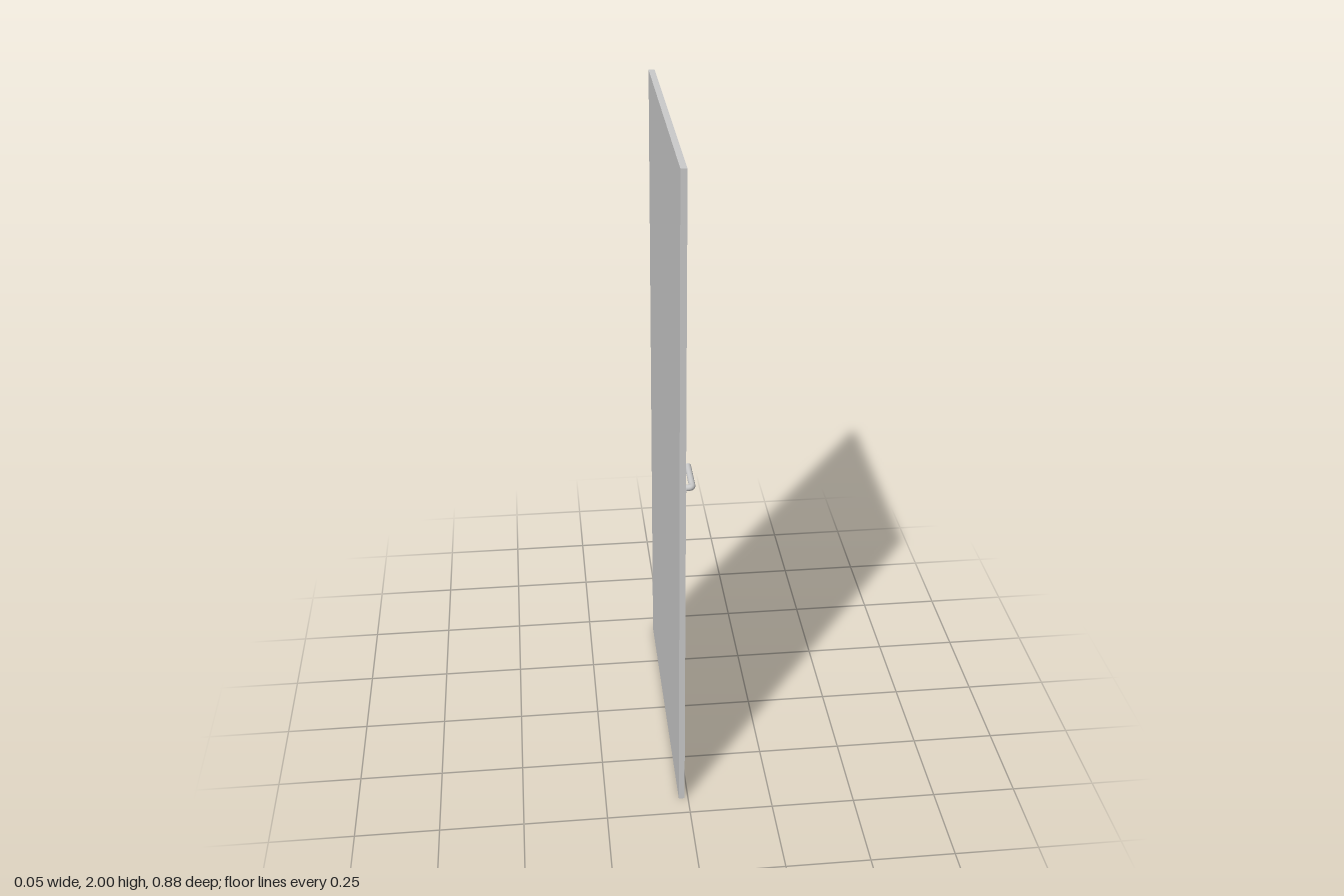
import * as THREE from 'three';

export function createModel() {
  const model = new THREE.Group();
  const material = new THREE.MeshStandardMaterial({ color: 0xcccccc });
  const add = (name, geometry, x, y, z, parent = model) => {
    const mesh = new THREE.Mesh(geometry, material);
    mesh.name = name;
    mesh.position.set(x, y, z);
    parent.add(mesh);
    return mesh;
  };

  // Door leaf, with its face towards +x
  const faceX = -0.0105;
  add('doorLeaf', new THREE.BoxGeometry(0.0175, 2, 0.876), faceX - 0.00875, 1, 0);

  // Handle set, built around the spindle axis
  const handle = new THREE.Group();
  handle.name = 'handleSet';
  handle.position.set(faceX, 1.05, 0.348);
  model.add(handle);

  // Long plate behind the lever
  add('backPlate', new THREE.BoxGeometry(0.004, 0.2, 0.066), 0.002, -0.05, 0, handle);

  // Round collar at the base of the lever
  add('collar', new THREE.CylinderGeometry(0.0185, 0.0185, 0.005, 24), 0.0062, 0, 0, handle)
    .rotation.z = -Math.PI / 2;

  // Lever: short neck, rounded elbow, straight grip
  const radius = 0.0093, reach = 0.0282, bend = 0.012, gripEnd = -0.119;
  const point = (x, z) => new THREE.Vector3(x, 0, z);
  const path = new THREE.CurvePath();
  path.add(new THREE.LineCurve3(point(0.005, 0), point(reach - bend, 0)));
  path.add(new THREE.QuadraticBezierCurve3(point(reach - bend, 0), point(reach, 0), point(reach, -bend)));
  path.add(new THREE.LineCurve3(point(reach, -bend), point(reach, gripEnd)));
  add('lever', new THREE.TubeGeometry(path, 48, radius, 16), 0, 0, 0, handle);

  // Bevelled tip closing the grip
  add('leverTip', new THREE.CylinderGeometry(radius * 0.6, radius, 0.004, 16), reach, 0, gripEnd - 0.002, handle)
    .rotation.x = -Math.PI / 2;

  return model;
}
